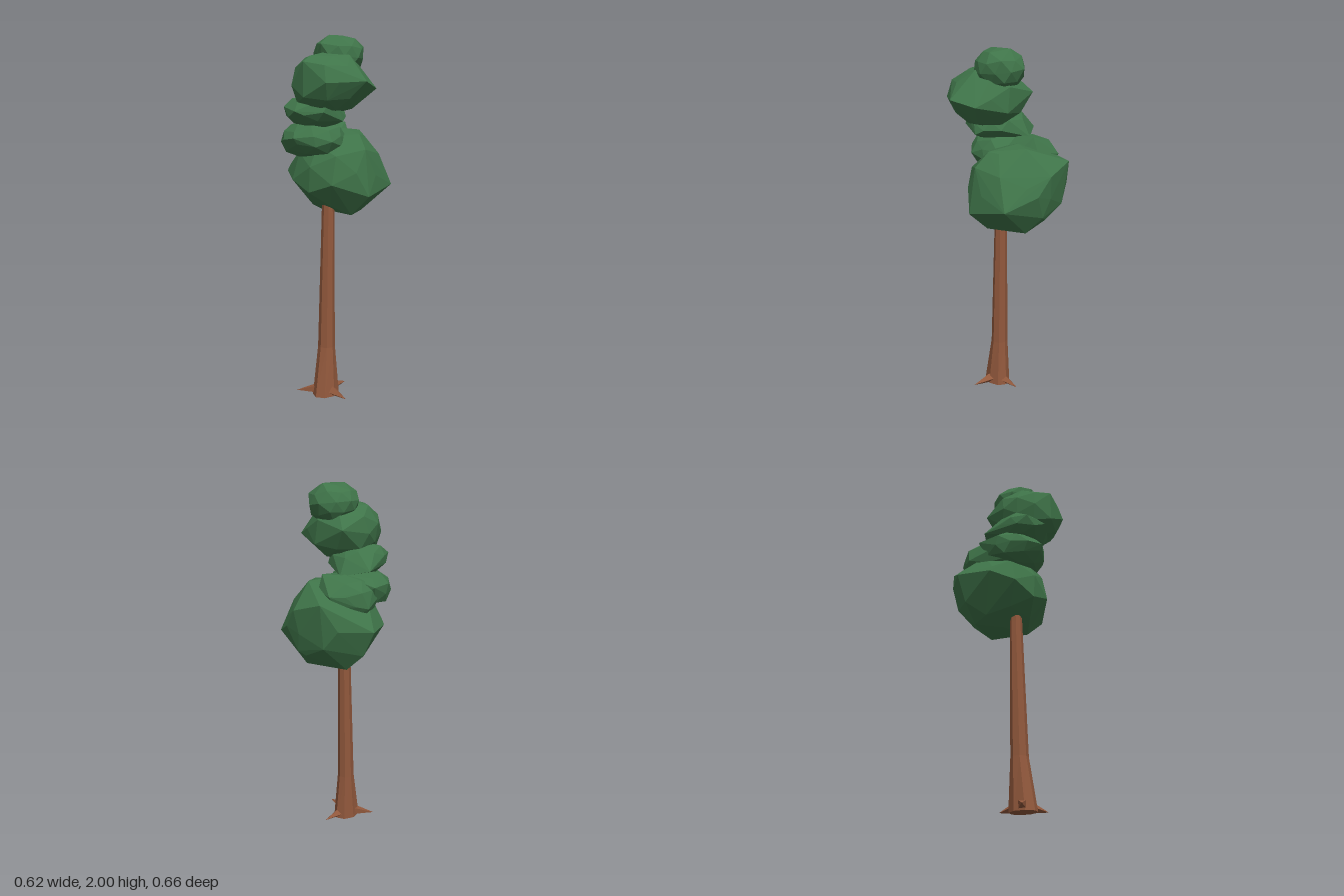
import * as THREE from 'three';
import { mergeVertices } from 'three/addons/utils/BufferGeometryUtils.js';
import { ConvexGeometry } from 'three/addons/geometries/ConvexGeometry.js';

// Small seeded generator for the faceted leaf clumps
function seeded(seed) {
  let s = seed;
  return () => (s = (s * 16807) % 2147483647) / 2147483647;
}

// Unit directions of a coarse sphere
function sphereDirections() {
  const g = new THREE.IcosahedronGeometry(1, 1);
  g.deleteAttribute('normal');
  g.deleteAttribute('uv');
  const p = mergeVertices(g, 1e-3).attributes.position;
  return Array.from({ length: p.count }, (_, i) => new THREE.Vector3().fromBufferAttribute(p, i));
}

// Irregular faceted clump inside a box, with protruding corners
function clumpGeometry(min, max, seed, peaks) {
  const rand = seeded(seed * 7919);
  const box = new THREE.Box3(new THREE.Vector3(...min), new THREE.Vector3(...max));
  const center = box.getCenter(new THREE.Vector3());
  const radius = box.getSize(new THREE.Vector3()).multiplyScalar(0.5);
  const turn = new THREE.Euler(rand() * 3, rand() * 3, rand() * 3);
  const points = sphereDirections().map((d) =>
    d.applyEuler(turn).multiplyScalar(0.96 + rand() * 0.15).multiply(radius).add(center).clamp(box.min, box.max));
  peaks.forEach((p) => points.push(new THREE.Vector3(...p)));
  return new ConvexGeometry(points);
}

// Faceted column lofted through rings of [x, y, z, radiusX, radiusZ]
function trunkGeometry(rings, sides) {
  const g = new THREE.CylinderGeometry(1, 1, rings.length - 1, sides, rings.length - 1);
  const p = g.attributes.position;
  for (let i = 0; i < p.count; i++) {
    const [x, y, z, rx, rz] = rings[Math.round(p.getY(i) + (rings.length - 1) / 2)];
    p.setXYZ(i, x + p.getX(i) * rx, y, z + p.getZ(i) * rz);
  }
  const flat = g.toNonIndexed();
  flat.computeVertexNormals();
  return flat;
}

export function createModel() {
  const bark = new THREE.MeshStandardMaterial({ color: 0x91583c });
  bark.name = 'bark brown';
  const leaf = new THREE.MeshStandardMaterial({ color: 0x3f7449 });
  leaf.name = 'leaf green';

  const tree = new THREE.Group();
  tree.name = 'tree';
  const add = (name, geometry, material) => {
    const mesh = new THREE.Mesh(geometry, material);
    mesh.name = name;
    tree.add(mesh);
    return mesh;
  };

  // Trunk, flared at the foot
  add('trunk', trunkGeometry([
    [-0.092, 0, 0.035, 0.083, 0.066],
    [-0.078, 0.28, 0.027, 0.048, 0.048],
    [-0.062, 1.05, 0.025, 0.034, 0.036],
    [-0.06, 1.3, 0.02, 0.028, 0.028],
  ], 8), bark);

  // Pointed roots, starting just inside the trunk
  const foot = new THREE.Vector3(-0.088, 0.036, 0.035);
  [[0.08, 0.03], [-0.11, 0.205], [-0.205, -0.088]].forEach(([x, z], i) => {
    const tip = new THREE.Vector3(x, 0.018, z);
    const start = foot.clone().lerp(tip, 0.3);
    const dir = tip.clone().sub(start);
    const cone = new THREE.ConeGeometry(0.03, dir.length(), 4).toNonIndexed();
    cone.computeVertexNormals();
    const root = add('root' + (i + 1), cone, bark);
    root.position.copy(start).lerp(tip, 0.5);
    root.quaternion.setFromUnitVectors(new THREE.Vector3(0, 1, 0), dir.normalize());
  });

  // Leaf clumps from the bottom to the crown
  const clumps = [
    ['lowerFoliage', [-0.21, 1.04, -0.25], [0.29, 1.51, 0.265], 3, [
      [0.04, 1.27, -0.33], [0.27, 1.42, -0.17], [0.31, 1.37, 0], [0.22, 1.2, 0.245],
      [-0.02, 1.15, 0.285], [0.2, 1.28, -0.23], [-0.12, 1.27, -0.235], [0.05, 1.13, -0.26],
      [0.08, 1.035, -0.16], [0.18, 1.04, 0.06], [-0.02, 1.04, 0.16], [0.27, 1.14, 0.02],
      [0.297, 1.27, 0.08], [0.17, 1.5, 0.05], [0.02, 1.48, 0.18]]],
    ['backFoliage', [-0.15, 1.3, -0.255], [0.18, 1.54, 0.07], 5, [
      [0.14, 1.545, -0.03], [0.2, 1.45, -0.16], [0.02, 1.38, -0.265]]],
    ['sideFoliage', [-0.28, 1.35, -0.23], [0.05, 1.55, 0.15], 8, [
      [-0.3, 1.46, 0], [-0.04, 1.48, -0.245], [0.06, 1.54, -0.1]]],
    ['middleFoliage', [-0.29, 1.51, -0.17], [0.03, 1.69, 0.16], 11, [
      [-0.04, 1.56, -0.205], [0.06, 1.53, -0.08], [-0.31, 1.6, 0.02], [-0.1, 1.55, 0.17]]],
    ['upperFoliage', [-0.305, 1.58, -0.12], [0.08, 1.91, 0.28], 14, [
      [-0.1, 1.75, 0.33], [-0.305, 1.85, 0.08], [-0.305, 1.67, 0.08], [-0.28, 1.74, 0.215],
      [0.085, 1.68, 0.1], [0.04, 1.72, 0.28], [0.06, 1.77, -0.1]]],
    ['crownFoliage', [-0.155, 1.79, -0.07], [0.115, 2, 0.2], 17, [
      [-0.165, 1.95, 0.07], [0.12, 1.9, 0.02], [0.06, 2, 0.06], [-0.09, 2, 0.06]]],
  ];
  clumps.forEach(([name, min, max, seed, peaks]) => add(name, clumpGeometry(min, max, seed, peaks), leaf));

  return tree;
}
